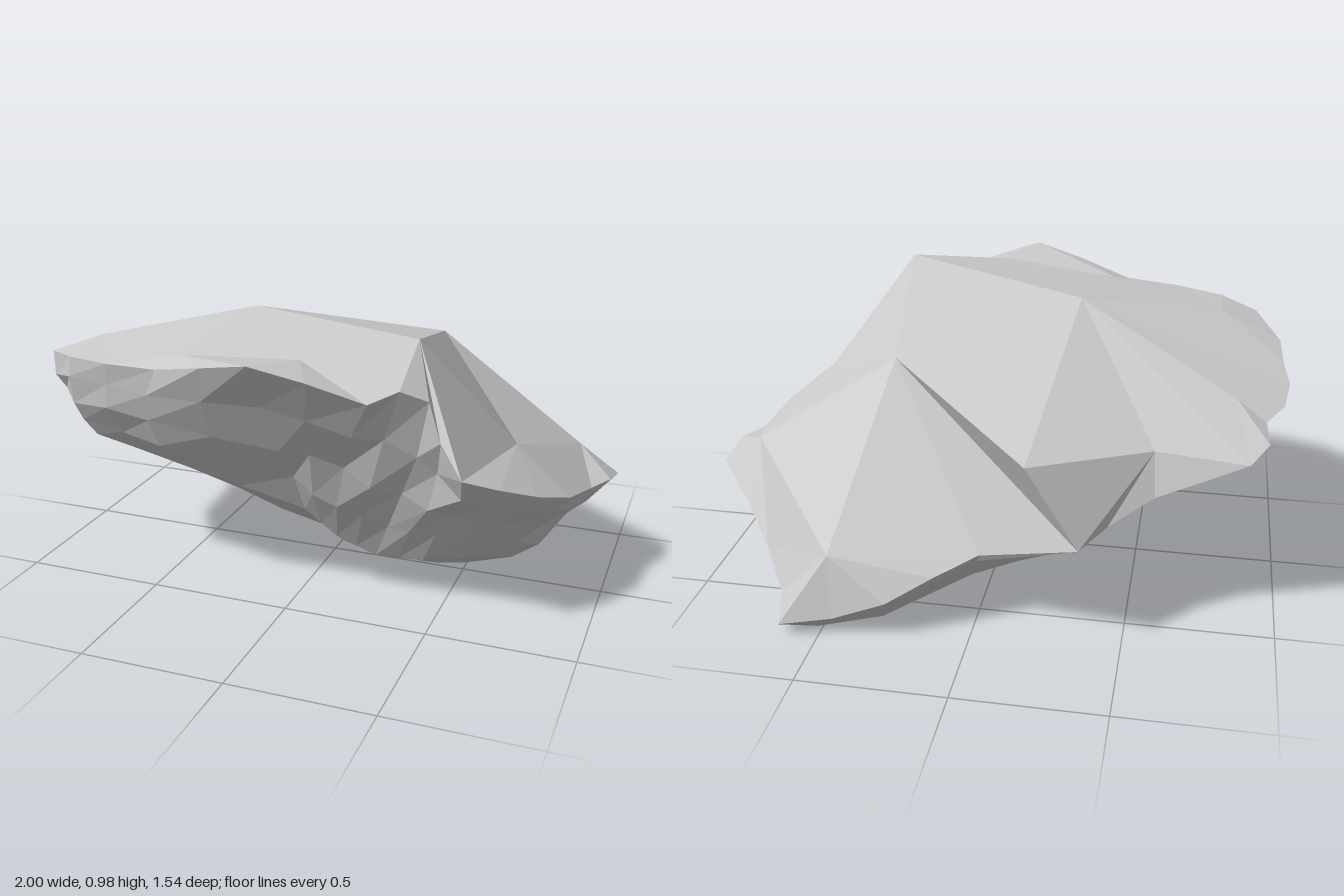
import * as THREE from 'three';

// Rim of the boulder, counter-clockwise from above, starting at the front tip
const RIM = [
  [0, .96, .77], [.17, .91, .72], [.34, .84, .65], [.42, .87, .58], [.5, .83, .53], [.54, .7, .53],
  [.62, .6, .57], [.72, .55, .48], [.82, .49, .35], [.9, .44, .2], [.94, .4, 0], [.99, .4, -.1],
  [1, .37, -.24], [.87, .26, -.36], [.77, .16, -.47], [.67, .08, -.62], [.63, .05, -.77], [.45, .08, -.75],
  [.27, .15, -.74], [.12, .23, -.68], [-.02, .29, -.61], [-.36, .41, -.73], [-.44, .45, -.63], [-.58, .52, -.54],
  [-.87, .63, -.48], [-.93, .66, -.38], [-.92, .68, -.25], [-.98, .7, -.15], [-1, .72, 0], [-.98, .75, .12],
  [-.97, .78, .27], [-.88, .83, .45], [-.75, .85, .55], [-.58, .86, .61], [-.38, .87, .64], [-.18, .92, .72],
];

// Corners of the large cleaved faces on top
const TOP = {
  A: [.43, .99, .41], B: [.33, .83, -.27], C: [.71, .6, .19], D: [.86, .47, -.23],
  E: [.47, .29, -.7], F: [-.19, .69, -.74], G: [-.57, .66, -.49], H: [-.26, .96, .09],
  I: [-.75, .87, .33], J: [-.82, .74, -.21], K: [.1, .94, .59], L: [-.33, .9, .55],
};

// Each cleaved face is a fan: an apex and its surrounding corners
const FANS = [
  ['H', 'A', 'B', 'F', 'G', 24, 'J', 27, 28, 29, 'I', 'L', 'A'],
  ['I', 29, 30, 31, 32, 33, 'L'],
  ['L', 33, 34, 35, 0, 'K', 'A'],
  ['K', 0, 1, 2, 'A'],
  ['A', 2, 3, 4, 5, 6, 'C', 'B'],
  ['C', 6, 7, 8, 9, 10, 'D', 'B'],
  ['D', 10, 11, 12, 13, 14, 'E', 'B'],
  ['E', 14, 15, 16, 17, 18, 19, 20, 'B'],
  ['B', 20, 21, 'F'],
  ['F', 21, 'G'],
  ['G', 21, 22, 23, 24],
  ['J', 24, 25, 26, 27],
];

// Lower edge where the steep flanks meet the belly, one point per two rim points
const EDGE = [
  [.02, .33, .36], [.12, .22, .31], [.25, .15, .27], [.42, .16, .27], [.58, .17, .2], [.68, .1, .02],
  [.7, .1, -.2], [.64, .05, -.42], [.52, .01, -.7], [.3, .05, -.66], [.02, .16, -.52], [-.32, .34, -.54],
  [-.68, .5, -.3], [-.78, .53, -.12], [-.84, .55, .05], [-.83, .54, .27], [-.74, .53, .43], [-.42, .47, .44],
];

// Lowest height of the belly along x
const KEEL = [[-1, .72], [-.83, .53], [-.6, .45], [-.3, .3], [0, .12], [.2, .05], [.43, .01], [.65, .05], [1, .36]];

function keelHeight(x) {
  let i = 0;
  while (i < KEEL.length - 2 && x > KEEL[i + 1][0]) i++;
  const [x0, y0] = KEEL[i], [x1, y1] = KEEL[i + 1];
  return y0 + (y1 - y0) * (x - x0) / (x1 - x0);
}

const mix = (a, b, t) => a.map((v, k) => v + (b[k] - v) * t);

function seeded(seed) {
  return () => (seed = (seed * 16807) % 2147483647) / 2147483647 - .5;
}

function rockMesh(name, triangles) {
  const geometry = new THREE.BufferGeometry();
  geometry.setAttribute('position', new THREE.Float32BufferAttribute(triangles.flat(2), 3));
  geometry.computeVertexNormals();
  const mesh = new THREE.Mesh(geometry, new THREE.MeshStandardMaterial({
    color: 0xcccccc, flatShading: true, side: THREE.DoubleSide,
  }));
  mesh.name = name;
  return mesh;
}

export function createModel() {
  const group = new THREE.Group();
  group.name = 'boulder';
  const n = RIM.length;

  // Cleaved upper faces
  const point = (key) => (typeof key === 'number' ? RIM[key] : TOP[key]);
  const upper = [];
  for (const [apex, ...corners] of FANS) {
    for (let i = 0; i < corners.length - 1; i++) {
      upper.push([point(apex), point(corners[i]), point(corners[i + 1])]);
    }
  }
  group.add(rockMesh('cleavedTop', upper));

  // Steep flanks: rough and bulging where they are tall, plain where the rim is thin
  const random = seeded(7);
  const edge = RIM.map((_, i) => mix(EDGE[i >> 1], EDGE[((i + 1) >> 1) % EDGE.length], .5));
  const tall = RIM.map((p, i) => THREE.MathUtils.clamp((p[1] - edge[i][1] - .1) / .2, 0, 1));
  const smoothRim = RIM.map((p, i) => {
    const before = RIM[(i + n - 2) % n], after = RIM[(i + 2) % n];
    return mix(p, mix(before, after, .5), .6 * tall[i]);
  });
  const rings = [RIM];
  for (const t of [.25, .5, .75]) {
    rings.push(RIM.map((p, i) => {
      const start = mix(p, smoothRim[i], Math.min(1, t * 2));
      const [x, y, z] = mix(start, edge[i], t);
      // A stronger ridge runs along the front of the overhanging side
      const ridge = z > 0 ? .05 * THREE.MathUtils.clamp(-4 * x, 0, 1) : 0;
      const bulge = 1 + (.04 + ridge) * Math.sin(Math.PI * t) * tall[i];
      const rough = .028 * tall[i];
      return [x * bulge + random() * rough, y + random() * rough, z * bulge + random() * rough];
    }));
  }
  rings.push(edge);

  // Belly: rings closing from the edge to a point on the keel
  const cx = .1, cz = -.08;
  for (const t of [.3, .65]) {
    rings.push(edge.map(([ex, ey, ez]) => {
      const x = ex + (cx - ex) * t, z = ez + (cz - ez) * t;
      const rise = (ey - keelHeight(ex)) * (1 - t) ** 2;
      return [x, Math.max(0, keelHeight(x) + rise + random() * .012), z];
    }));
  }

  const lower = [];
  const last = rings.length - 1;
  for (let r = 0; r <= last; r++) {
    for (let i = 0; i < n; i++) {
      const j = (i + 1) % n, a = rings[r][i], b = rings[r][j];
      if (r === last) {
        lower.push([b, a, [cx, keelHeight(cx), cz]]);
      } else {
        const c = rings[r + 1][i], d = rings[r + 1][j];
        lower.push([a, c, b], [b, c, d]);
      }
    }
  }
  group.add(rockMesh('roughUnderside', lower));
  return group;
}
